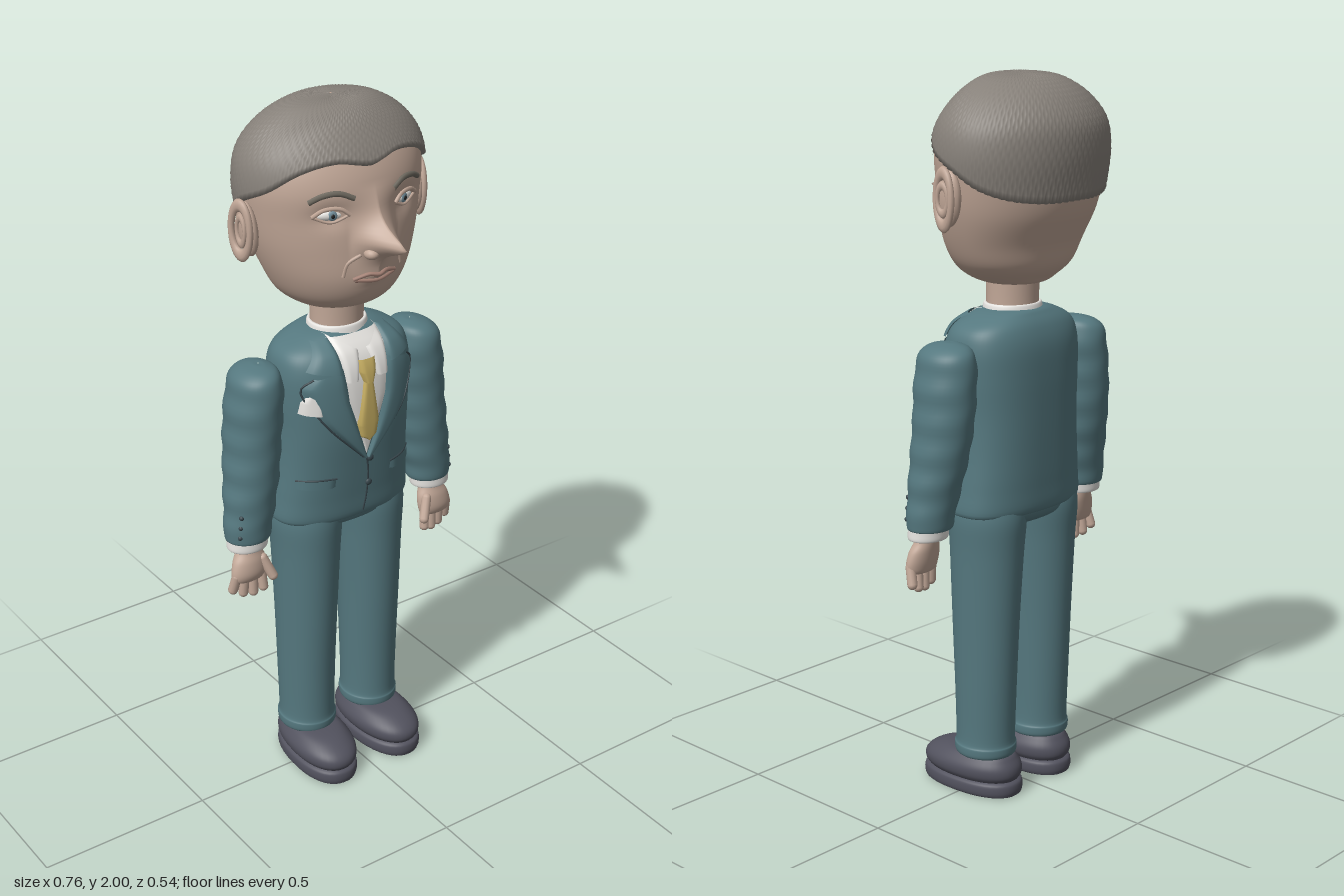
import * as THREE from 'three';

const SKIN = 0xc2a898, SUIT = 0x55787f, HAIR = 0x87817a, SHOE = 0x52525e;
const WHITE = 0xe6e4e0, TIE = 0xc6ae62, DARK = 0x38464c, LIP = 0xa98578;

// Catmull-Rom sample of rows of numbers, v in 0..1
function at(keys, v) {
  const n = keys.length - 1, f = Math.min(Math.max(v, 0), 1) * n;
  const i = Math.min(Math.floor(f), n - 1), t = f - i;
  const a = keys[Math.max(i - 1, 0)], b = keys[i], c = keys[i + 1], d = keys[Math.min(i + 2, n)];
  return b.map((p, k) => 0.5 * (2 * p + (c[k] - a[k]) * t + (2 * a[k] - 5 * p + 4 * c[k] - d[k]) * t * t
    + (3 * p - a[k] - 3 * c[k] + d[k]) * t * t * t));
}
const lerpRow = (pts, v) => {
  const f = v * (pts.length - 1), i = Math.min(Math.floor(f), pts.length - 2);
  return pts[i].map((p, k) => p + (pts[i + 1][k] - p) * (f - i));
};
function vAt(keys, y) {
  let lo = 0, hi = 1;
  for (let i = 0; i < 24; i++) {
    const m = (lo + hi) / 2;
    if (at(keys, m)[0] < y) lo = m; else hi = m;
  }
  return lo;
}
// point of a section row [y, cx, cz, rx, rFront, rBack]
function ring(k, a, p = 2) {
  const s = Math.sin(a), c = Math.cos(a), e = 2 / p;
  const rz = c > 0 ? k[4] : k[5] ?? k[4];
  return new THREE.Vector3(k[1] + k[3] * Math.sign(s) * Math.abs(s) ** e, k[0],
    k[2] + rz * Math.sign(c) * Math.abs(c) ** e);
}
// surface from fn(u, v), wrapped in u when closed
function grid(cols, rows, fn, closed = true) {
  const pos = [], idx = [], w = closed ? cols : cols + 1;
  for (let j = 0; j <= rows; j++) for (let i = 0; i < w; i++) pos.push(...fn(i / cols, j / rows).toArray());
  for (let j = 0; j < rows; j++) for (let i = 0; i < cols; i++) {
    const a = j * w + i, b = j * w + (i + 1) % w;
    idx.push(a, b, b + w, a, b + w, a + w);
  }
  const g = new THREE.BufferGeometry();
  g.setAttribute('position', new THREE.Float32BufferAttribute(pos, 3));
  g.setIndex(idx);
  g.computeVertexNormals();
  return g;
}

const HEAD = [[1.44, 0, -.03, .01, .01, .01], [1.445, 0, -.04, .08, .07, .08], [1.465, 0, -.04, .13, .125, .11],
  [1.5, 0, -.05, .172, .17, .13], [1.56, 0, -.055, .205, .195, .145], [1.64, 0, -.065, .235, .205, .17],
  [1.72, 0, -.07, .252, .205, .18], [1.8, 0, -.07, .26, .203, .188], [1.87, 0, -.07, .245, .18, .18],
  [1.93, 0, -.065, .195, .135, .145], [1.97, 0, -.06, .125, .09, .095], [1.985, 0, -.06, .06, .05, .05],
  [1.988, 0, -.06, .004, .004, .004]];
const TORSO = [[.83, 0, -.04, .18, .09], [.828, 0, -.04, .212, .12], [.9, 0, -.038, .209, .127], [1, 0, -.034, .202, .133],
  [1.1, 0, -.03, .2, .138], [1.2, 0, -.03, .204, .138], [1.28, 0, -.032, .203, .132], [1.33, 0, -.035, .186, .115],
  [1.36, 0, -.04, .135, .09], [1.375, 0, -.04, .08, .068], [1.376, 0, -.04, .01, .01]];
const NOSE = [[1.54, 0], [1.57, .012], [1.6, .018], [1.63, .045], [1.655, .1], [1.675, .132],
  [1.69, .1], [1.71, .058], [1.74, .025], [1.78, .008], [1.81, 0]];
const HAIRLINE = [[1.855], [1.87], [1.85], [1.8], [1.76], [1.715], [1.69], [1.68], [1.68]];

// head surface with nose and eye hollows
function headPoint(a, v) {
  const p = ring(at(HEAD, v), a);
  if (Math.cos(a) > 0) {
    const x = Math.abs(p.x);
    if (p.y > 1.54 && p.y < 1.81) p.z += at(NOSE, vAt(NOSE, p.y))[1] * Math.max(0, 1 - x / .075) ** 1.5;
    p.z -= .012 * Math.exp(-(((x - .115) / .045) ** 2) - ((p.y - 1.74) / .03) ** 2);
  }
  return p;
}
const onFace = (x, y, off = 0) => {
  const v = vAt(HEAD, y), p = headPoint(Math.asin(x / at(HEAD, v)[3]), v);
  return p.setZ(p.z + off);
};
const onTorso = (x, y, off = 0) => {
  const k = at(TORSO, vAt(TORSO, y)), s = Math.min(Math.abs(x) / k[3], 1);
  return new THREE.Vector3(x, y, k[2] + k[4] * (1 - s ** 2.5) ** .4 + off);
};

export function createModel() {
  const root = new THREE.Group();
  const add = (name, geo, color, side = THREE.FrontSide) => {
    const m = new THREE.Mesh(geo, new THREE.MeshStandardMaterial({ color, side }));
    m.name = name;
    root.add(m);
    return m;
  };
  const loft = (name, color, keys, { s = 1, p = 2, cols = 40, sub = 6, ripple = 0 } = {}) =>
    add(name, grid(cols, (keys.length - 1) * sub, (u, v) => {
      const k = at(keys, v);
      k[1] = s * (k[1] + ripple * Math.sin(k[0] * 75));
      return ring(k, u * Math.PI * 2, p);
    }), color);
  const ball = (name, color, p, x, y, z) => {
    const m = add(name, new THREE.SphereGeometry(1, 20, 14), color);
    m.position.copy(p);
    m.scale.set(x, y, z);
    return m;
  };
  const line = (name, color, on, pts, r, off = 0) => add(name, new THREE.TubeGeometry(
    new THREE.CatmullRomCurve3(pts.map(([x, y]) => on(x, y, off))), 24, r, 6), color);
  // thin cloth piece draped on the chest between two edges
  const patch = (name, color, A, B, off, s = 1) => add(name, grid(10, 20, (u, v) => {
    const a = lerpRow(A, v), b = lerpRow(B, v);
    return onTorso(s * (a[0] + (b[0] - a[0]) * u), a[1] + (b[1] - a[1]) * u, off * (1 - .8 * (2 * u - 1) ** 6));
  }, false), color, THREE.DoubleSide);
  const finger = (name, a, b, r) => {
    const A = new THREE.Vector3(...a), d = new THREE.Vector3(...b).sub(A);
    const m = add(name, new THREE.CapsuleGeometry(r, d.length(), 5, 12), SKIN);
    m.position.copy(A).addScaledVector(d, .5);
    m.quaternion.setFromUnitVectors(new THREE.Vector3(0, 1, 0), d.normalize());
  };

  // head, columns packed toward the face
  add('head', grid(128, 84, (u, v) => headPoint(u * 2 * Math.PI - .7 * Math.sin(u * 2 * Math.PI), v)), SKIN);
  // hair cap with swirling strands
  const centre = new THREE.Vector3(0, 1.72, -.065);
  add('hair', grid(360, 28, (u, v) => {
    const a = u * 2 * Math.PI, t = Math.max(0, (v - 1 / 28) / (27 / 28));
    const v0 = vAt(HEAD, at(HAIRLINE, 1 - Math.abs(1 - 2 * u))[0]);
    const p = headPoint(a, v0 + (1 - v0) * t), d = p.clone().sub(centre).normalize();
    const strand = .006 * Math.abs(Math.sin(36 * (a + .9 * t))) * Math.min(1, 3 * (1 - t));
    return p.addScaledVector(d, v === 0 ? -.006 : .008 + strand);
  }), HAIR);
  loft('neck', SKIN, [[1.34, 0, -.035, .076, .068], [1.4, 0, -.035, .075, .068], [1.48, 0, -.035, .077, .07]]);

  // mouth
  line('upperLip', LIP, onFace, [[-.065, 1.565], [-.025, 1.577], [0, 1.573], [.025, 1.577], [.065, 1.565]], .006);
  line('lowerLip', LIP, onFace, [[-.06, 1.562], [0, 1.556], [.06, 1.562]], .006);

  // jacket and seat
  loft('seat', SUIT, [[.782, 0, -.045, .02, .02], [.785, 0, -.045, .11, .07], [.81, 0, -.042, .175, .108],
    [.86, 0, -.04, .2, .115]], { p: 2.3 });
  loft('jacket', SUIT, TORSO, { p: 2.5, cols: 64 });
  loft('collarBand', WHITE, [[1.36, 0, -.035, .088, .08], [1.385, 0, -.035, .083, .074], [1.387, 0, -.035, .074, .066]]);
  patch('shirtFront', WHITE, [[-.08, 1.368], [-.06, 1.2], [0, 1.03]], [[.08, 1.368], [.06, 1.2], [0, 1.03]], .005);
  patch('tie', TIE, [[-.014, 1.26], [-.036, 1.13], [-.028, 1.09], [0, 1.075]],
    [[.014, 1.26], [.036, 1.13], [.028, 1.09], [0, 1.075]], .014);
  patch('tieKnot', TIE, [[-.03, 1.315], [-.026, 1.28], [-.014, 1.25]], [[.03, 1.315], [.026, 1.28], [.014, 1.25]], .02);
  line('frontEdge', DARK, onTorso, [[0, 1.03], [.012, .97], [.012, .89], [.004, .84]], .003);
  patch('pocketSquare', WHITE, [[-.185, 1.18], [-.18, 1.215], [-.165, 1.235]],
    [[-.13, 1.175], [-.13, 1.2], [-.15, 1.225]], .012);
  for (const y of [1.01, .93]) ball('jacketButton', DARK, onTorso(.015, y, .003), .01, .01, .006);

  for (const s of [1, -1]) {
    const P = (x, y, z) => new THREE.Vector3(s * x, y, z);
    const M = pts => pts.map(([x, y]) => [s * x, y]);
    // eye
    ball('eye', WHITE, onFace(s * .115, 1.742, -.004), .036, .014, .012).rotation.y = s * .35;
    ball('iris', 0x6f8b98, onFace(s * .112, 1.742, .005), .013, .013, .005).rotation.y = s * .35;
    ball('pupil', 0x222222, onFace(s * .112, 1.742, .009), .006, .006, .003);
    line('upperLid', SKIN, onFace, M([[.07, 1.742], [.095, 1.76], [.135, 1.76], [.162, 1.742]]), .006, .003);
    line('lowerLid', SKIN, onFace, M([[.07, 1.742], [.115, 1.724], [.162, 1.742]]), .004, .002);
    line('eyebrow', 0x6f6a60, onFace, M([[.06, 1.785], [.1, 1.802], [.14, 1.798], [.17, 1.782]]), .008);
    line('cheekFold', SKIN, onFace, M([[.05, 1.635], [.08, 1.61], [.09, 1.575]]), .005, -.001);
    ball('nostril', SKIN, onFace(s * .03, 1.64, -.006), .02, .016, .022);
    // ear with rim
    const ear = ball('ear', SKIN, P(.262, 1.69, -.055), .022, .074, .038);
    ear.rotation.set(-.1, 0, -s * .06);
    const rim = add('earRim', new THREE.TorusGeometry(.034, .009, 10, 32), SKIN);
    rim.position.copy(P(.283, 1.69, -.055));
    rim.rotation.set(0, Math.PI / 2 - s * .2, 0);
    rim.scale.set(1, 2, 1);
    const fold = add('earFold', new THREE.TorusGeometry(.018, .006, 8, 24), SKIN);
    fold.position.copy(P(.284, 1.69, -.052));
    fold.rotation.y = Math.PI / 2;
    fold.scale.set(1, 2, 1);

    // collar, lapel and pocket flap
    patch('shirtCollar', WHITE, [[.012, 1.335], [.03, 1.26]], [[.078, 1.374], [.066, 1.26]], .014, s);
    patch('collar', SUIT, [[.078, 1.37], [.07, 1.285]], [[.12, 1.362], [.165, 1.3]], .016, s);
    patch('lapel', SUIT, [[.07, 1.3], [.058, 1.2], [0, 1.02]], [[.15, 1.28], [.18, 1.25], [.13, 1.15], [.01, 1.02]], .014, s);
    line('lapelEdge', DARK, onTorso, M([[.15, 1.28], [.18, 1.25], [.13, 1.15], [.01, 1.02]]), .003, .005);
    patch('pocketFlap', SUIT, [[.09, .97], [.092, .945]], [[.185, .97], [.185, .945]], .008, s);
    line('pocketSeam', DARK, onTorso, M([[.088, .97], [.14, .972], [.187, .97]]), .003, .002);

    // sleeve, cuff and buttons
    loft('sleeve', SUIT, [[.835, .31, -.02, .045, .04], [.815, .311, -.02, .064, .057], [.86, .304, -.022, .069, .063],
      [.92, .296, -.026, .073, .07], [1, .285, -.033, .076, .08], [1.1, .275, -.04, .077, .087],
      [1.2, .267, -.04, .076, .09], [1.27, .26, -.04, .068, .086], [1.3, .255, -.04, .05, .066],
      [1.312, .252, -.04, .02, .028], [1.313, .252, -.04, .002, .002]], { s, ripple: .0025 });
    loft('cuff', WHITE, [[.795, .313, -.017, .035, .03], [.787, .313, -.017, .057, .048], [.81, .312, -.018, .059, .051],
      [.84, .31, -.02, .058, .05]], { s });
    for (const y of [.84, .87, .9]) ball('sleeveButton', DARK, P(.35 + (.9 - y) * .1, y, .018), .007, .007, .007);

    // hand
    loft('palm', SKIN, [[.69, .322, 0, .01, .008], [.692, .322, 0, .045, .02], [.715, .32, 0, .054, .028],
      [.75, .316, -.005, .05, .03], [.78, .313, -.012, .036, .028], [.81, .312, -.015, .034, .028]], { s });
    for (let i = 0; i < 4; i++) {
      const x = .283 + i * .026, drop = [.655, .646, .65, .665][i];
      finger('finger', [s * x, .71, .002], [s * (x + .003 * (i - 1)), drop, .008 - .006 * i], .014);
    }
    finger('thumb', [s * .283, .75, .012], [s * .262, .695, .03], .014);

    // trouser leg
    loft('trouserLeg', SUIT, [[.12, .11, -.035, .05, .05], [.115, .11, -.035, .079, .084], [.14, .11, -.035, .084, .09],
      [.165, .11, -.035, .079, .086], [.3, .11, -.036, .081, .09], [.5, .109, -.036, .086, .099],
      [.7, .107, -.038, .094, .108], [.8, .106, -.04, .101, .113], [.85, .104, -.04, .098, .108]], { s });
    // shoe, toes turned out a little
    const sole = loft('shoeSole', SHOE, [[0, 0, .015, .01, .02], [0, 0, .015, .07, .14], [.008, 0, .015, .086, .158],
      [.035, 0, .015, .087, .158], [.045, 0, .015, .075, .145]], { p: 2.3 });
    const upper = loft('shoeUpper', SHOE, [[.04, 0, .015, .076, .145], [.058, 0, .015, .088, .157], [.08, 0, .013, .09, .155],
      [.1, 0, .006, .08, .138], [.117, 0, -.008, .062, .108], [.123, 0, -.02, .03, .06], [.124, 0, -.02, .002, .002]], { p: 2.2 });
    for (const m of [sole, upper]) {
      m.position.x = s * .108;
      m.rotation.y = s * .06;
    }
  }
  return root;
}
